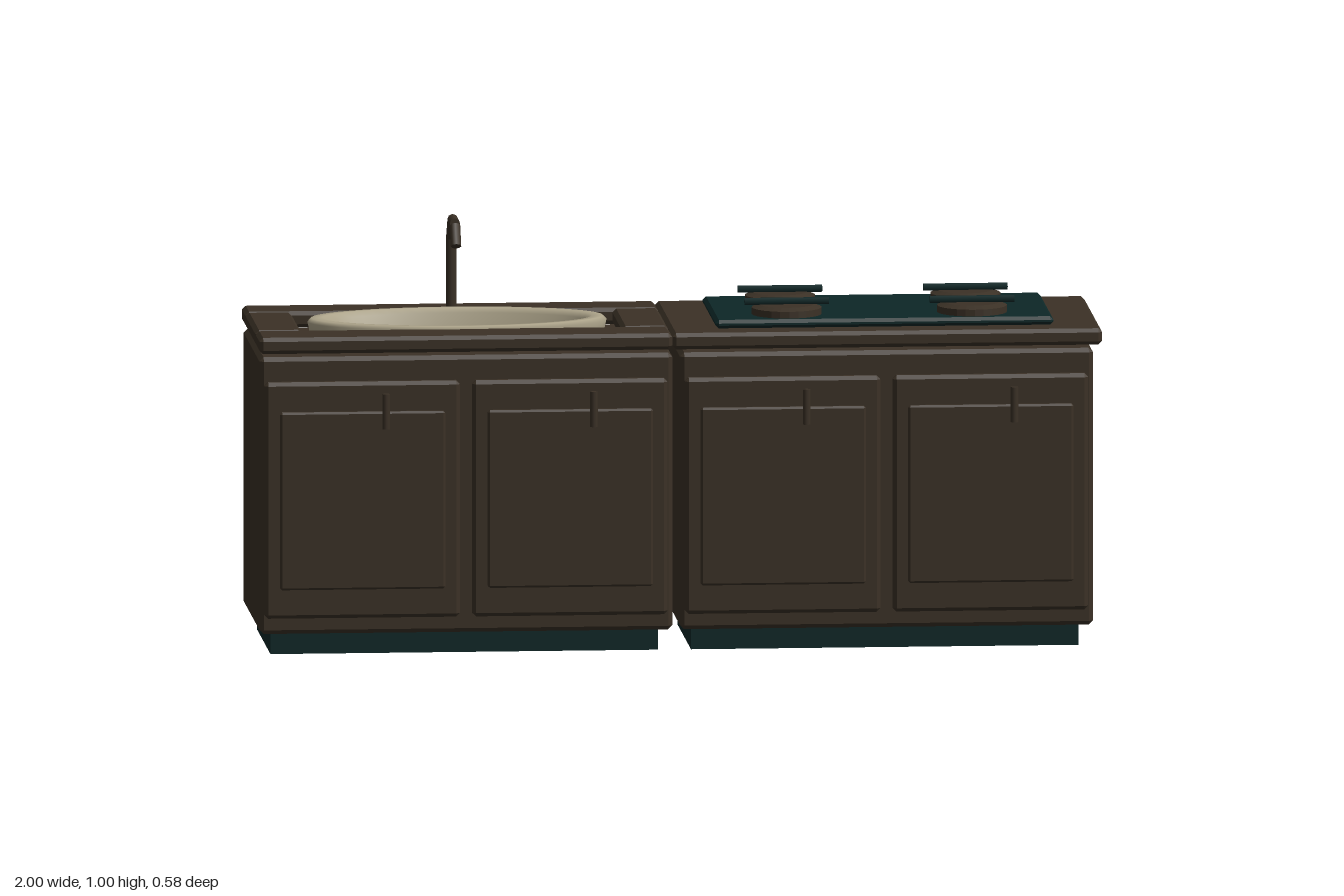
import * as THREE from 'three';
import { ConvexGeometry } from 'three/addons/geometries/ConvexGeometry.js';

function material(name, color) {
  const m = new THREE.MeshStandardMaterial({ color });
  m.name = name;
  return m;
}

// Box between two corners with every edge chamfered by c
function chamferBox(x0, x1, y0, y1, z0, z1, c) {
  const points = [];
  for (const [x, sx] of [[x0, 1], [x1, -1]])
    for (const [y, sy] of [[y0, 1], [y1, -1]])
      for (const [z, sz] of [[z0, 1], [z1, -1]])
        points.push(
          new THREE.Vector3(x, y + sy * c, z + sz * c),
          new THREE.Vector3(x + sx * c, y, z + sz * c),
          new THREE.Vector3(x + sx * c, y + sy * c, z));
  return new ConvexGeometry(points);
}

export function createModel() {
  const root = new THREE.Group();
  root.name = 'kitchenUnits';
  const wood = material('darkWood', 0x3b3126);
  const teal = material('darkTeal', 0x0d2727);
  const cream = material('cream', 0xaea58b);
  cream.side = THREE.DoubleSide;

  const add = (parent, name, geometry, mat) => {
    const mesh = new THREE.Mesh(geometry, mat);
    mesh.name = name;
    parent.add(mesh);
    return mesh;
  };

  // Cabinet with plinth, two panelled doors and bar handles
  function cabinet(name, x) {
    const g = new THREE.Group();
    g.name = name;
    root.add(g);
    const plinth = add(g, 'plinth', new THREE.BoxGeometry(0.92, 0.06, 0.405), teal);
    plinth.position.set(x + 0.49, 0.03, -0.032);
    add(g, 'carcass', chamferBox(x, x + 0.98, 0.055, 0.717, -0.262, 0.226, 0.01), wood);
    for (const d of [x + 0.01, x + 0.503]) {
      add(g, 'door', chamferBox(d, d + 0.464, 0.095, 0.66, 0.222, 0.25, 0.009), wood);
      add(g, 'doorPanel', chamferBox(d + 0.036, d + 0.428, 0.165, 0.59, 0.24, 0.262, 0.005), wood);
      const handle = add(g, 'handle', new THREE.CylinderGeometry(0.009, 0.009, 0.084, 8), wood);
      handle.position.set(d + 0.286, 0.593, 0.281);
    }
    return g;
  }
  const sinkUnit = cabinet('sinkUnit', -0.998);
  const stoveUnit = cabinet('stoveUnit', 0);

  // Sink worktop in four pieces around the opening
  for (const [x0, x1, z0, z1] of [
    [-1, -0.02, -0.29, -0.175], [-1, -0.02, 0.125, 0.25],
    [-1, -0.89, -0.175, 0.125], [-0.13, -0.02, -0.175, 0.125]])
    add(sinkUnit, 'worktop', chamferBox(x0, x1, 0.728, 0.767, z0, z1, 0.009), wood);

  // Oval basin: outer wall, rim and sloping inner wall
  const profile = [[0.95, 0.712], [0.985, 0.74], [1, 0.765], [0.975, 0.774], [0.9, 0.774],
    [0.86, 0.762], [0.8, 0.712]].map(([r, y]) => new THREE.Vector2(r, y));
  const basin = add(sinkUnit, 'basin', new THREE.LatheGeometry(profile, 48), cream);
  basin.scale.set(0.355, 1, 0.163);
  basin.position.set(-0.51, 0, -0.023);

  // Faucet from straight round segments, given as z, y pairs
  for (const [z0, y0, z1, y1] of [
    [-0.194, 0.71, -0.194, 0.938], [-0.194, 0.938, -0.153, 0.986],
    [-0.156, 0.987, -0.084, 0.987], [-0.084, 0.983, -0.053, 0.937]]) {
    const a = new THREE.Vector3(-0.51, y0, z0), b = new THREE.Vector3(-0.51, y1, z1);
    const pipe = add(sinkUnit, 'faucetPipe',
      new THREE.CylinderGeometry(0.0125, 0.0125, a.distanceTo(b), 8), wood);
    pipe.position.copy(a).lerp(b, 0.5);
    pipe.quaternion.setFromUnitVectors(new THREE.Vector3(0, 1, 0), b.sub(a).normalize());
  }

  // Stove worktop and hob
  add(stoveUnit, 'worktop', chamferBox(-0.02, 1, 0.728, 0.767, -0.29, 0.25, 0.009), wood);
  add(stoveUnit, 'hob', chamferBox(0.088, 0.89, 0.766, 0.787, -0.219, 0.18, 0.008), teal);

  // Burners, each with a cross bar
  for (const x of [0.264, 0.704])
    for (const z of [-0.119, 0.081]) {
      const disc = [[0, 0.785], [0.083, 0.785], [0.083, 0.803], [0.064, 0.81], [0, 0.81]];
      // Each profile step is its own band so the edges stay sharp
      const plate = new THREE.LatheGeometry(disc.map(p => new THREE.Vector2(...p)), 24).toNonIndexed();
      plate.computeVertexNormals();
      add(stoveUnit, 'burner', plate, wood).position.set(x, 0, z);
      const bar = add(stoveUnit, 'burnerBar', new THREE.CylinderGeometry(0.009, 0.009, 0.2, 6), teal);
      bar.rotation.z = Math.PI / 2;
      bar.position.set(x, 0.817, z);
    }
  return root;
}
